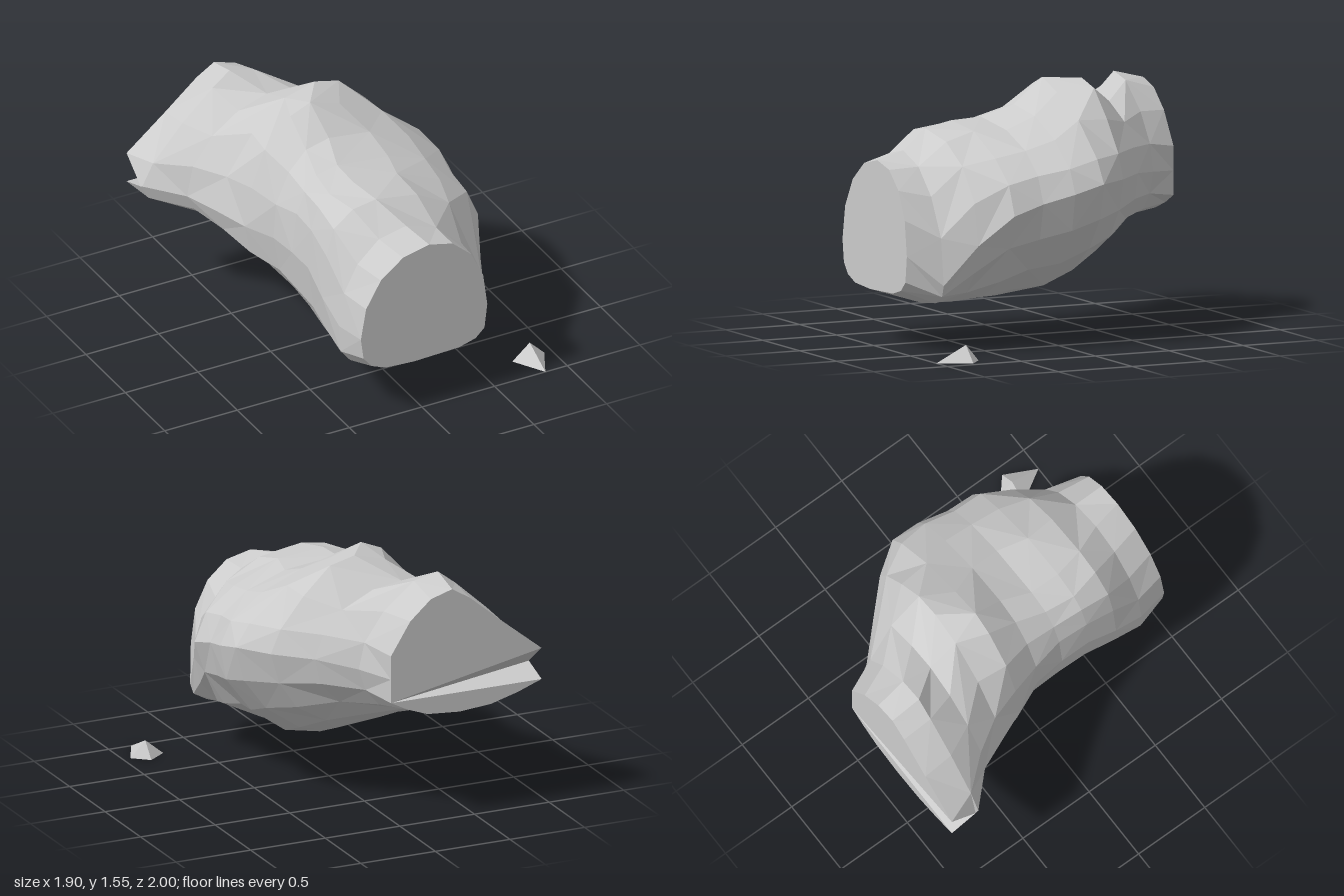
import * as THREE from 'three';

const SIDES = 16;

// Cross-sections from front (z = 1) to back (z = -1), 0.2 apart:
// left x,y, top x,y, right x,y, bottom x,y,
// then the roundness of the upper-right, upper-left, lower-left and lower-right quarters
const SECTIONS = [
  [-0.42, 0.60, 0.05, 1.14, 0.45, 0.60, -0.05, 0.34, 0.95, 1.0, 0.65, 0.5],
  [-0.46, 0.60, 0.00, 1.18, 0.55, 0.42, 0.00, 0.285, 1.0, 0.95, 0.6, 0.75],
  [-0.47, 0.70, -0.10, 1.29, 0.62, 0.66, 0.00, 0.255, 1.0, 0.8, 0.65, 0.9],
  [-0.46, 0.80, -0.15, 1.32, 0.71, 0.84, 0.02, 0.25, 1.05, 0.75, 0.7, 1.05],
  [-0.46, 0.80, -0.15, 1.33, 0.70, 0.90, 0.04, 0.26, 0.95, 0.75, 0.75, 1.1],
  [-0.48, 0.80, -0.10, 1.40, 0.73, 0.95, 0.06, 0.295, 1.1, 0.95, 0.8, 1.1],
  [-0.57, 0.80, -0.12, 1.55, 0.72, 1.00, 0.05, 0.38, 1.45, 1.15, 0.85, 1.1],
  [-0.66, 0.83, 0.02, 1.55, 0.58, 1.00, -0.03, 0.49, 1.35, 1.25, 0.9, 1.0],
  [-0.75, 0.85, -0.20, 1.42, 0.38, 1.00, -0.15, 0.58, 1.15, 1.15, 0.95, 1.0],
  [-0.95, 0.87, -0.35, 1.52, 0.18, 0.97, -0.35, 0.65, 1.2, 1.65, 1.0, 0.9],
  [-0.95, 0.90, -0.35, 1.47, 0.06, 0.95, -0.40, 0.675, 1.1, 1.7, 1.0, 0.8],
];

// Repeatable roughness in the range -1..1
function rough(n) {
  const s = Math.sin(n * 127.1 + 3.7) * 4375.85;
  return 2 * (s - Math.floor(s)) - 1;
}

// One ring, counter-clockwise from the +x side
function ring(section, row) {
  const [lx, ly, tx, ty, rx, ry, bx, by, ...powers] = section;
  const z = 1 - row * 0.2;
  const points = [];
  for (let j = 0; j < SIDES; j++) {
    const a = (j / SIDES) * Math.PI * 2;
    const upper = j <= SIDES / 2;
    const left = j > SIDES / 4 && j < SIDES * 0.75;
    const power = powers[Math.floor((j * 4) / SIDES)];
    const c = Math.abs(Math.cos(a)) ** power;
    const s = Math.abs(Math.sin(a)) ** power;
    const [mx, my] = upper ? [tx, ty] : [bx, by];
    const [sx, sy] = left ? [lx, ly] : [rx, ry];
    const k = j % 4 && row > 0 && row < SECTIONS.length - 1 ? 0.015 : 0;
    const seed = row * SIDES + j;
    points.push([
      mx + (sx - mx) * c + k * rough(seed),
      sy + (my - sy) * s + k * rough(seed + 500),
      z,
    ]);
  }
  return points;
}

function flatMesh(name, positions, index) {
  const geometry = new THREE.BufferGeometry();
  geometry.setAttribute('position', new THREE.Float32BufferAttribute(positions.flat(), 3));
  geometry.setIndex(index);
  geometry.computeVertexNormals();
  const mesh = new THREE.Mesh(geometry, new THREE.MeshStandardMaterial({
    color: 0xcccccc, flatShading: true, side: THREE.DoubleSide,
  }));
  mesh.name = name;
  return mesh;
}

function rockBody() {
  const rows = SECTIONS.map(ring);
  const last = rows.length - 1;
  // Upright +x edge of the back end
  rows[last][0] = [0.06, 0.95, -1];
  rows[last][1] = [0.06, 1.1, -1];
  rows[last][15] = [0.06, 0.8, -1];
  // Notched corner at the back end
  rows[last][7] = [-0.95, 1.0, -1];
  rows[last][8] = [-0.95, 0.86, -0.82];
  rows[last][9] = [-0.95, 0.8, -1];

  const positions = rows.flat();
  const index = [];
  // Faceted skin with alternating diagonals
  for (let i = 0; i < last; i++) {
    for (let j = 0; j < SIDES; j++) {
      const n = (j + 1) % SIDES;
      const a = i * SIDES + j, b = i * SIDES + n;
      const c = a + SIDES, d = b + SIDES;
      if ((i + j) % 2) index.push(a, c, b, b, c, d);
      else index.push(a, c, d, a, d, b);
    }
  }
  // Flat front end
  const centre = positions.length;
  positions.push([0, 0.72, 1]);
  for (let j = 0; j < SIDES; j++) index.push(centre, j, (j + 1) % SIDES);
  // Back end, fanned from its lower +x corner so the notch folds inwards
  const base = last * SIDES;
  const pivot = SIDES - 1;
  for (let s = 1; s < SIDES - 1; s++) {
    index.push(base + pivot, base + (pivot + s + 1) % SIDES, base + (pivot + s) % SIDES);
  }
  return flatMesh('rockBody', positions, index);
}

// Small four-sided chip lying on the ground
function rockChip() {
  const positions = [
    [0.85, 0.1, 0.8],
    [0.95, 0, 0.8], [0.85, 0, 0.715], [0.73, 0, 0.8], [0.85, 0, 1],
  ];
  const index = [1, 3, 2, 1, 4, 3];
  for (let j = 0; j < 4; j++) index.push(0, 1 + j, 1 + (j + 1) % 4);
  return flatMesh('rockChip', positions, index);
}

export function createModel() {
  const group = new THREE.Group();
  group.name = 'rock';
  group.add(rockBody(), rockChip());
  return group;
}
